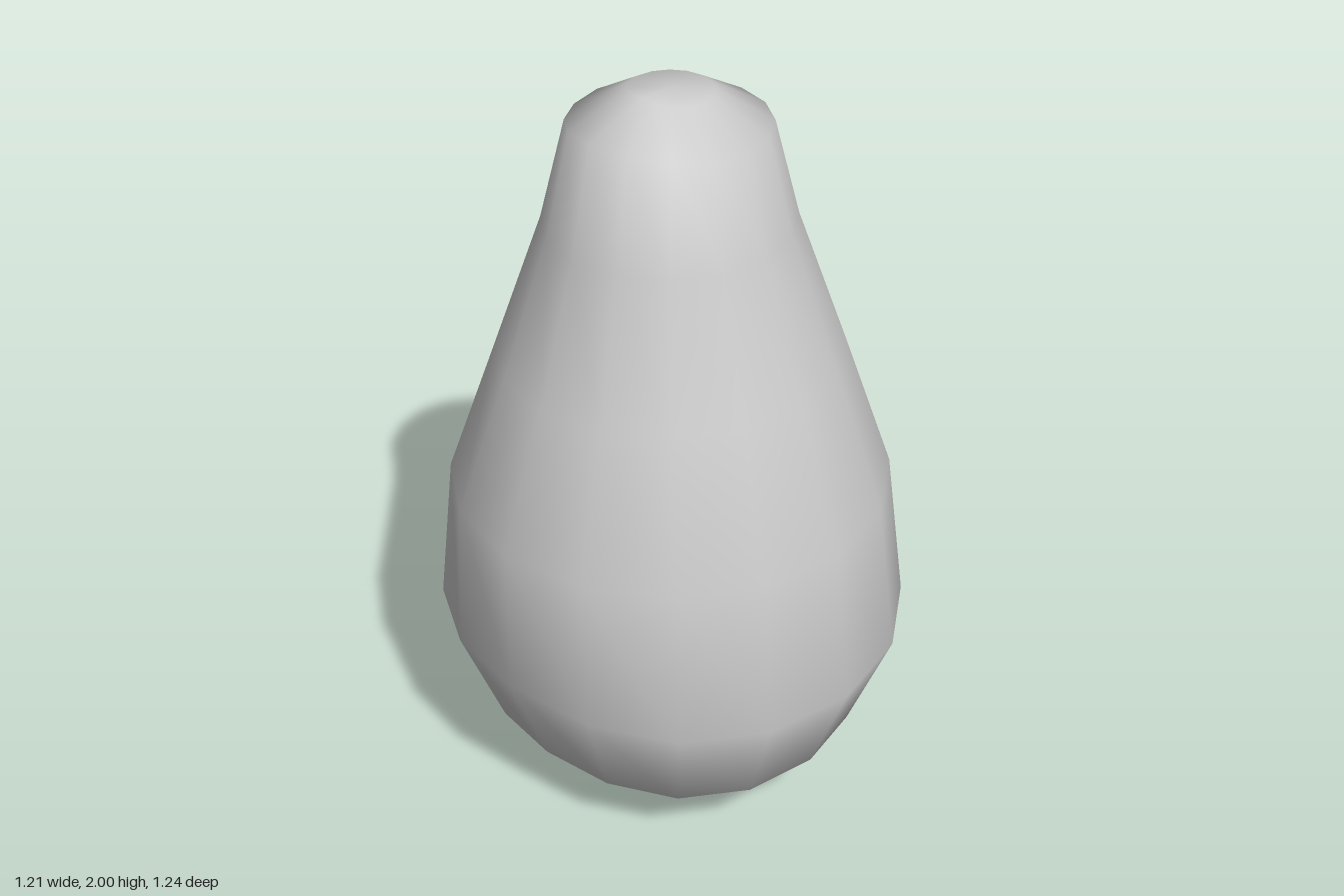
import * as THREE from 'three';
import { mergeVertices } from 'three/addons/utils/BufferGeometryUtils.js';

// Rings from bottom to top: [radius, height, outward push on the -x side, lift on the -x side]
const RINGS = [
  [0, 0, 0, 0],
  [0.263, 0.045, -0.02, 0.015],
  [0.508, 0.215, -0.035, 0.02],
  [0.62, 0.508, -0.035, 0.025],
  [0.565, 0.93, 0.017, 0.02],
  [0.437, 1.3, 0.008, 0],
  [0.308, 1.66, 0.022, 0],
  [0.245, 1.905, 0.02, 0.035],
  [0.107, 1.985, -0.012, 0.013],
  [0, 1.992, 0, 0],
];

export function createModel() {
  const group = new THREE.Group();
  group.name = 'pear';

  // Sixteen-sided turned body
  let geometry = new THREE.LatheGeometry(RINGS.map(([r, y]) => new THREE.Vector2(r, y)), 16);
  const pos = geometry.attributes.position;

  // Slight hand-shaped unevenness on the -x side, fading round the ring
  for (let i = 0; i < pos.count; i++) {
    const [r, y, push, lift] = RINGS[i % RINGS.length];
    const x = pos.getX(i);
    const side = r > 0 ? Math.max(0, -x / r) ** 4 : 0;
    pos.setXYZ(i, x - push * side - 0.02, y + lift * side, pos.getZ(i));
  }

  // Weld the seam and poles for smooth normals
  geometry.deleteAttribute('normal');
  geometry.deleteAttribute('uv');
  geometry = mergeVertices(geometry, 1e-4);
  geometry.computeVertexNormals();

  const body = new THREE.Mesh(geometry, new THREE.MeshStandardMaterial({ color: 0xcccccc }));
  body.name = 'pearBody';
  group.add(body);
  return group;
}
